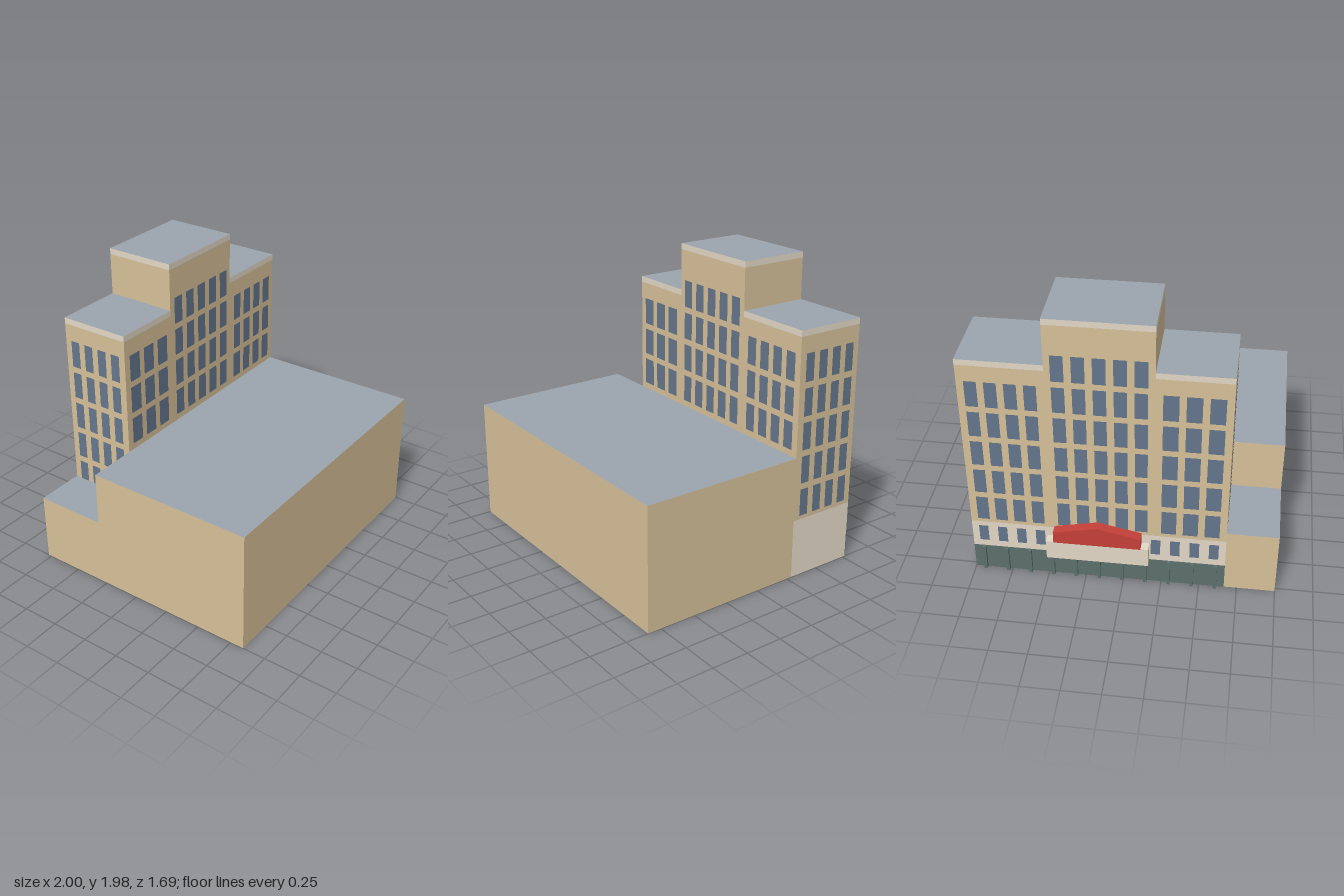
import * as THREE from 'three';

const material = (name, color, side = THREE.FrontSide) =>
  Object.assign(new THREE.MeshStandardMaterial({ color, side }), { name });

export function createModel() {
  const brick = material('tan brick', 0xd6c099, THREE.DoubleSide);
  const stone = material('pale stone', 0xe3d8c7, THREE.DoubleSide);
  const roofing = material('grey roofing', 0x9ba5ae, THREE.DoubleSide);
  const glass = material('blue glass', 0x64768c);
  const green = material('dark green', 0x5d706b);
  const red = material('red', 0xc6403a);

  const root = new THREE.Group();
  root.name = 'building';
  const BACK = -0.775, FRONT = -0.29;

  const add = (parent, name, geometry, mat) => {
    const mesh = new THREE.Mesh(geometry, mat);
    mesh.name = name;
    parent.add(mesh);
    return mesh;
  };
  const group = (name, parent = root) => {
    const g = new THREE.Group();
    g.name = name;
    parent.add(g);
    return g;
  };
  // Solid block given by its limits
  const block = (parent, name, x0, x1, y0, y1, z0, z1, mat) => {
    const geo = new THREE.BoxGeometry(x1 - x0, y1 - y0, z1 - z0);
    geo.translate((x0 + x1) / 2, (y0 + y1) / 2, (z0 + z1) / 2);
    return add(parent, name, geo, mat);
  };
  // Box shell without the listed faces (0 +x, 1 -x, 2 top, 3 bottom, 4 front, 5 back)
  const walls = (parent, name, x0, x1, y0, y1, z0, z1, mat, open = [2, 3]) => {
    const { geometry } = block(parent, name, x0, x1, y0, y1, z0, z1, mat);
    const index = Array.from(geometry.index.array);
    geometry.setIndex(index.filter((v, i) => !open.includes(Math.floor(i / 6))));
    geometry.clearGroups();
  };
  const roof = (parent, x0, x1, y, z0, z1) => {
    const geo = new THREE.PlaneGeometry(x1 - x0, z1 - z0).rotateX(-Math.PI / 2);
    add(parent, 'roof', geo.translate((x0 + x1) / 2, y, (z0 + z1) / 2), roofing);
  };
  // Flat window pane just proud of a wall; turn is the way it faces
  const pane = (parent, name, x, y, z, w, h, turn) => {
    const mesh = add(parent, name, new THREE.PlaneGeometry(w, h), glass);
    mesh.rotation.y = turn;
    mesh.position.set(x, y + h / 2, z);
    mesh.translateZ(0.002);
  };

  // Front hall and low annex, open underneath
  const hall = group('hall');
  walls(hall, 'hallWalls', -1, 1, 0, 0.835, FRONT, 0.843, brick);
  roof(hall, -1, 1, 0.835, FRONT, 0.843);
  const annex = group('annex');
  walls(annex, 'annexWalls', -1, -0.666, 0, 0.47, BACK, FRONT, brick);
  roof(annex, -1, -0.666, 0.47, BACK, FRONT);

  // Tower wings: stone base, brick body, stone cornice, flat roof
  const ROW0 = 0.427, ROW_PITCH = 0.2256, ROW_H = 0.184;
  const wings = [
    { name: 'rightWing', x0: -0.666, x1: -0.2, top: 1.665, rows: 5, cols: 3, mid: -0.433, pitch: 0.139, w: 0.096, open: [1, 2, 3, 4] },
    { name: 'centreWing', x0: -0.2, x1: 0.463, top: 1.983, rows: 6, cols: 5, mid: 0.133, pitch: 0.125, w: 0.08, open: [2, 3, 4] },
    { name: 'leftWing', x0: 0.463, x1: 1, top: 1.665, rows: 5, cols: 4, mid: 0.733, pitch: 0.121, w: 0.078, open: [2, 3, 4] },
  ];
  for (const { name, x0, x1, top, rows, cols, mid, pitch, w, open } of wings) {
    const wing = group(name);
    walls(wing, 'base', x0, x1, 0, 0.4, BACK, FRONT, stone, open);
    walls(wing, 'body', x0, x1, 0.4, top - 0.04, BACK, FRONT, brick);
    walls(wing, 'cornice', x0, x1, top - 0.04, top, BACK, FRONT, stone);
    roof(wing, x0, x1, top, BACK, FRONT);

    const windows = group('windows', wing);
    for (let c = 0; c < cols; c++) {
      const x = mid + (c - (cols - 1) / 2) * pitch;
      for (let r = 0; r < rows; r++) {
        const y = ROW0 + r * ROW_PITCH;
        pane(windows, 'backWindow', x, y, BACK, w, ROW_H, Math.PI);
        // The hall covers the two lowest rows on the front
        if (r > 1) pane(windows, 'frontWindow', x, y, FRONT, w, ROW_H, 0);
      }
    }
  }

  // Windows on the two outer ends of the tower
  const ends = group('endWindows');
  for (const x of [1, -0.666]) {
    for (let c = 0; c < 4; c++) {
      for (let r = 0; r < 5; r++) {
        pane(ends, 'endWindow', x, ROW0 + r * ROW_PITCH, -0.533 + (c - 1.5) * 0.1095, 0.066, ROW_H,
          Math.sign(x) * Math.PI / 2);
      }
    }
  }

  // Evenly spaced small windows in the stone band
  const mezzanine = group('mezzanineWindows');
  for (let i = -6; i <= 6; i++) {
    pane(mezzanine, 'smallWindow', 0.167 + i * 0.126, 0.24, BACK, 0.062, 0.125, Math.PI);
  }

  // Shopfront band with pilasters along the back
  const shopfront = group('shopfront');
  block(shopfront, 'shopfrontBand', -0.666, 1, 0, 0.19, BACK - 0.002, BACK + 0.002, green);
  for (let i = 0; i < 11; i++) {
    const x = -0.605 + i * 0.1535;
    block(shopfront, 'pilaster', x - 0.011, x + 0.011, 0, 0.19, BACK - 0.024, BACK, green);
  }

  // Entrance canopy with a gabled red sign board
  const canopy = group('canopy');
  block(canopy, 'canopyBox', -0.17, 0.498, 0.188, 0.33, -0.838, BACK, stone);
  const gable = new THREE.Shape([
    [-0.12, 0.33], [0.448, 0.33], [0.448, 0.415], [0.164, 0.477], [-0.12, 0.415],
  ].map(([x, y]) => new THREE.Vector2(x, y)));
  const board = new THREE.ExtrudeGeometry(gable, { depth: 0.065, bevelEnabled: false });
  add(canopy, 'signBoard', board.translate(0, 0, -0.843), red);

  return root;
}
